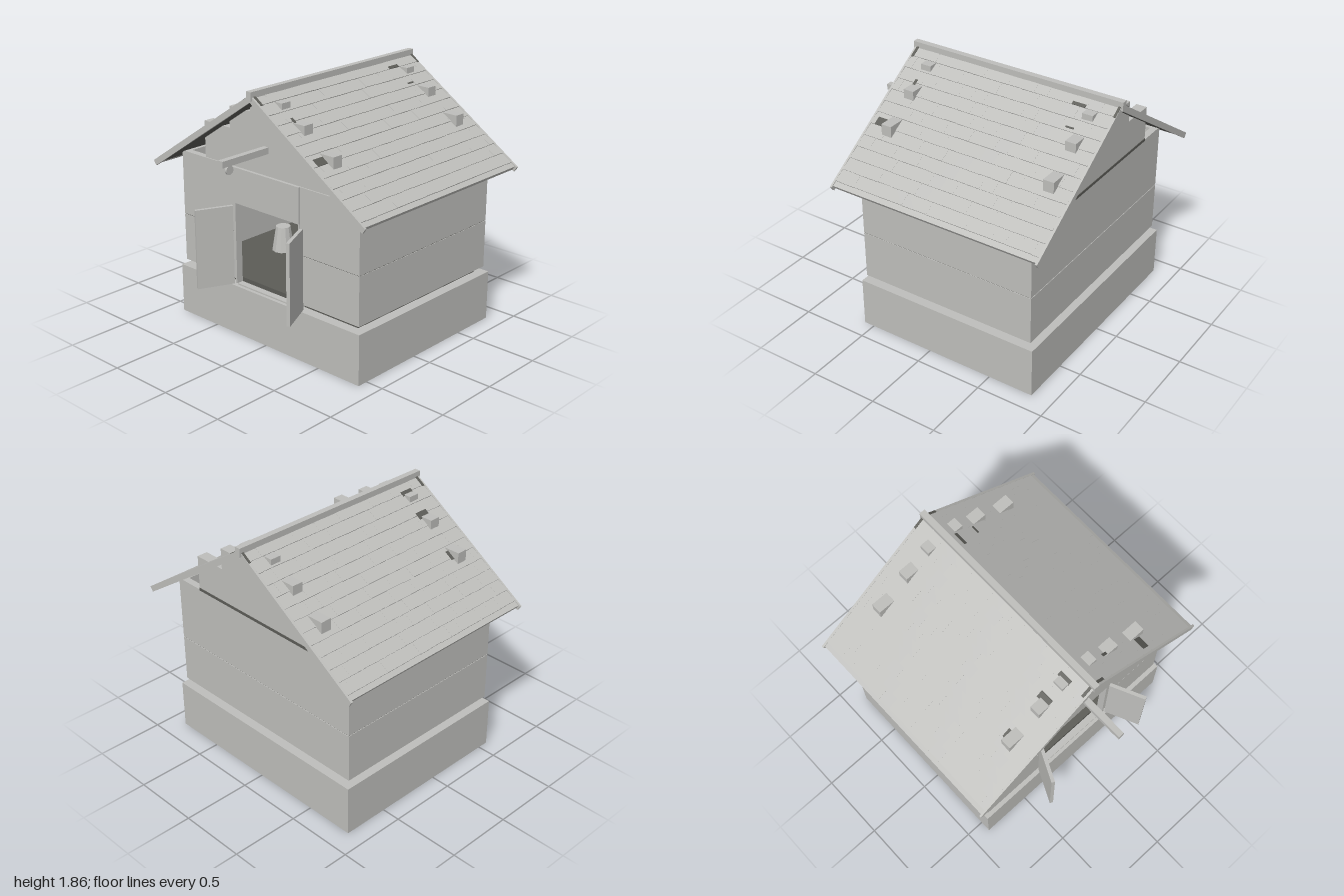
import * as THREE from 'three';
import { mergeGeometries } from 'three/addons/utils/BufferGeometryUtils.js';

export function createModel() {
  const house = new THREE.Group();
  house.name = 'storehouse';
  const grey = new THREE.MeshStandardMaterial({ color: 0xbebebb });
  grey.name = 'plain grey';
  const dark = new THREE.MeshStandardMaterial({ color: 0x5c5c57 });
  dark.name = 'dark recess';

  const add = (name, geometry, material = grey, parent = house) => {
    const mesh = new THREE.Mesh(geometry, material);
    mesh.name = name;
    parent.add(mesh);
    return mesh;
  };
  // Box given by its minimum and maximum on each axis
  const span = (x0, x1, y0, y1, z0, z1) =>
    new THREE.BoxGeometry(x1 - x0, y1 - y0, z1 - z0)
      .translate((x0 + x1) / 2, (y0 + y1) / 2, (z0 + z1) / 2);

  const W = 0.84, FRONT = 0.555, BACK = -0.81, T = 0.05;

  // Plinth and the recessed dark floor that shows as a gap below the walls
  add('plinth', span(-0.865, 0.865, 0, 0.37, -0.84, 0.58));
  add('recessedFloor', span(-W + T, W - T, 0.37, 0.412, BACK + T, FRONT - T), dark);
  add('doorSill', span(-0.3, 0.3, 0.37, 0.38, FRONT - T, FRONT));

  // Wall ring around the interior, with the doorway left free
  const ring = (name, y0, y1, material, inset, doorTop) => {
    const w = W - inset, f = FRONT - inset, b = BACK + inset;
    const parts = [span(-w, w, y0, y1, b, BACK + T)];
    for (const s of [-1, 1]) {
      const a = s * w, c = s * (W - T);
      parts.push(span(Math.min(a, c), Math.max(a, c), y0, y1, BACK + T, FRONT - T));
      parts.push(span(s > 0 ? 0.3 : -w, s > 0 ? w : -0.3, y0, y1, FRONT - T, f));
    }
    if (doorTop < y1) parts.push(span(-0.3, 0.3, doorTop, y1, FRONT - T, f));
    add(name, mergeGeometries(parts), material);
  };
  ring('lowerWall', 0.412, 0.767, grey, 0, 1);
  ring('wallJoint', 0.767, 0.772, dark, 0.004, 1);
  ring('upperWall', 0.772, 1.25, grey, 0, 0.99);
  add('innerBackLining', span(-W + T, W - T, 0.412, 0.77, BACK + T, BACK + T + 0.006), dark);
  add('doorHeader', span(-0.317, 0.317, 0.99, 1.25, FRONT - 0.01, 0.568));

  // Stepped gables, whose corners poke through the roof
  const steps = [[0.605, 1.25, 1.515], [0.35, 1.515, 1.67], [0.15, 1.67, 1.78]];
  for (const [name, z0, z1] of [['frontGable', 0.465, 0.545], ['backGable', -0.815, -0.735]]) {
    const gable = new THREE.Group();
    gable.name = name;
    house.add(gable);
    steps.forEach(([w, y0, y1]) => add('gableStep', span(-w, w, y0, y1, z0, z1), grey, gable));
  }
  add('backGableGap', span(-0.605, 0.605, 1.25, 1.27, -0.819, -0.814), dark);

  // Roof halves: dark boarding, barge boards and rows of shingles
  let seed = 7;
  const random = () => (seed = (seed * 16807) % 2147483647) / 2147483647;
  const pitch = Math.atan(0.665), rows = 12, perRow = 16;
  const Z0 = -0.93, Z1 = 0.675, step = 1.14 / rows, width = (Z1 - Z0) / perRow;
  for (const s of [-1, 1]) {
    const roof = new THREE.Group();
    roof.name = s > 0 ? 'leftRoof' : 'rightRoof';
    roof.position.y = 1.838;
    roof.rotation.z = -s * pitch;
    house.add(roof);
    const slope = (name, x0, x1, y0, y1, z0, z1, material = grey) =>
      add(name, span(Math.min(s * x0, s * x1), Math.max(s * x0, s * x1), y0, y1, z0, z1), material, roof);
    slope('roofBoarding', 0, 1.14, -0.036, -0.012, Z0, Z1, dark);
    slope('eaveBoard', 1.14, 1.185, -0.036, -0.006, Z0, Z1);
    slope('frontBargeBoard', 0, 1.2, -0.042, 0, Z1, 0.69);
    slope('backBargeBoard', 0, 1.2, -0.042, 0, -0.947, Z0);

    const shingles = [];
    for (let r = 0; r < rows; r++) {
      const shift = (r % 2) * width * 0.5;
      for (let i = 0; i <= perRow; i++) {
        const a = Math.max(Z0, Z0 + i * width - shift);
        const b = Math.min(Z1, Z0 + (i + 1) * width - shift);
        if (b - a < 0.01) continue;
        const long = step + 0.004 + random() * 0.003;
        const g = new THREE.BoxGeometry(long, 0.008, b - a);
        g.translate(long / 2, 0, 0).rotateZ(0.06);
        if (s < 0) g.rotateY(Math.PI);
        shingles.push(g.translate(s * r * step, -0.008 - random() * 0.002, (a + b) / 2));
      }
    }
    add('shingles', mergeGeometries(shingles), grey, roof);

    // Dark bare spots in the shingles: x range across the slope, z range
    const spots = s > 0
      ? [[0.51, 0.56, 0.55, 0.64], [0.065, 0.085, -0.72, -0.62], [0.215, 0.225, -0.72, -0.66], [0.22, 0.26, 0.52, 0.54]]
      : [[0.225, 0.27, 0.44, 0.54], [0.07, 0.1, 0.45, 0.55], [0.51, 0.57, 0.44, 0.465]];
    spots.push([0.02, 0.09, -0.945, -0.928], [0.02, 0.09, 0.655, 0.675]);
    for (const [x0, x1, z0, z1] of spots) {
      slope('bareSpot', x0 / Math.cos(pitch), x1 / Math.cos(pitch), 0.001, 0.004, z0, z1, dark);
    }
  }
  add('ridgeBeam', span(-0.022, 0.022, 1.8, 1.862, -0.96, 0.7));

  // Hoist beam with its pulley
  add('hoistBeam', span(-0.022, 0.022, 1.41, 1.455, 0.5, 0.96));
  const pulley = add('pulley', new THREE.CylinderGeometry(0.031, 0.031, 0.016, 20));
  pulley.rotation.z = Math.PI / 2;
  pulley.position.set(0, 1.376, 0.885);

  // Open door leaves and their jambs
  for (const s of [-1, 1]) {
    const side = s > 0 ? 'left' : 'right';
    const hinge = new THREE.Group();
    hinge.name = side + 'Door';
    hinge.position.set(s * 0.33, 0, 0.56);
    hinge.rotation.y = s * Math.atan2(0.115, 0.245);
    house.add(hinge);
    add('doorLeaf', span(-0.0125, 0.0125, 0.375, 0.962, 0, 0.27), grey, hinge);
    add(side + 'DoorJamb', span(s > 0 ? 0.3 : -0.315, s > 0 ? 0.315 : -0.3, 0.38, 0.99, FRONT - T, 0.559));
  }

  // Tapered bucket standing on the floor beside the doorway
  const bucketShape = new THREE.CylinderGeometry(0.055, 0.085, 0.19, 12).toNonIndexed();
  bucketShape.computeVertexNormals();
  add('bucket', bucketShape).position.set(-0.45, 0.505, -0.06);

  return house;
}
